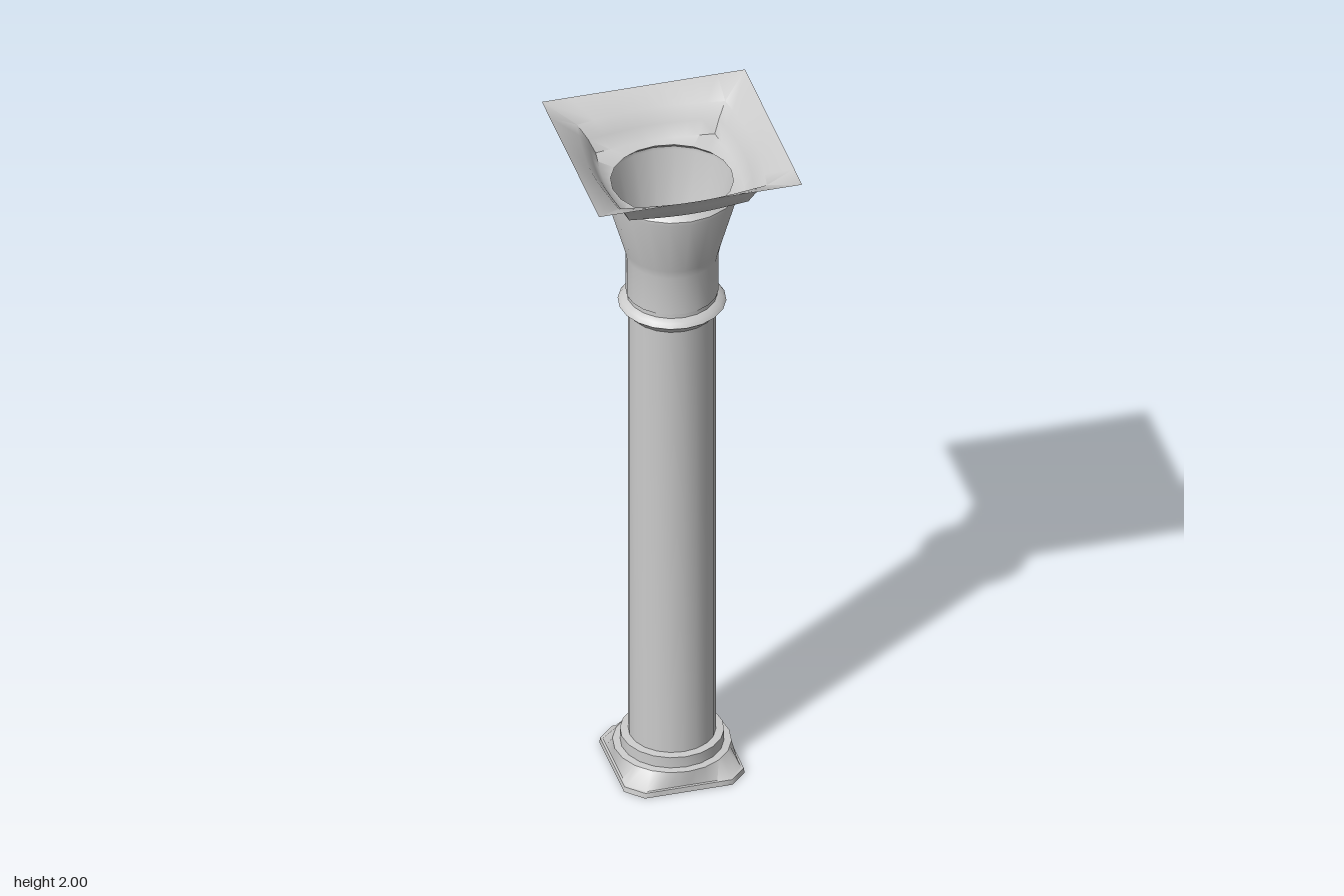
import * as THREE from 'three';
import { toCreasedNormals } from 'three/addons/utils/BufferGeometryUtils.js';

const SIDES = 20; // facets of the round parts
const LOOP = 40; // points of the square and octagonal loops
const material = new THREE.MeshStandardMaterial({ color: 0xcccccc, side: THREE.DoubleSide });

// Radius of each outline at an angle
const circle = (r) => (t) => {
  const step = (2 * Math.PI) / SIDES;
  const local = (((t % step) + step) % step) - step / 2;
  return (r * Math.cos(step / 2)) / Math.cos(local);
};
const square = (r, blend) => (t) => {
  const s = r / Math.max(Math.abs(Math.cos(t)), Math.abs(Math.sin(t)));
  return r + (s - r) * blend;
};
const octagon = (r) => (t) => {
  const c = Math.abs(Math.cos(t)), s = Math.abs(Math.sin(t));
  return Math.min(r / Math.max(c, s), (r * 1.727) / (c + s));
};

// Open skin through outlines, listed from bottom to top as [y, outline]
function loft(rings) {
  const pos = [], index = [];
  rings.forEach(([y, radius]) => {
    for (let i = 0; i < LOOP; i++) {
      const t = (i / LOOP) * Math.PI * 2, r = radius(t);
      pos.push(r * Math.sin(t), y, r * Math.cos(t));
    }
  });
  for (let k = 0; k < rings.length - 1; k++) {
    for (let i = 0; i < LOOP; i++) {
      const j = (i + 1) % LOOP;
      const a = k * LOOP + i, b = k * LOOP + j;
      index.push(a, b, b + LOOP, a, b + LOOP, a + LOOP);
    }
  }
  const g = new THREE.BufferGeometry();
  g.setAttribute('position', new THREE.Float32BufferAttribute(pos, 3));
  g.setIndex(index);
  return g;
}

const turned = (points) =>
  new THREE.LatheGeometry(points.map(([r, y]) => new THREE.Vector2(r, y)), SIDES);

export function createModel() {
  const column = new THREE.Group();
  column.name = 'column';
  const add = (name, geometry, crease = 0.6) => {
    const mesh = new THREE.Mesh(toCreasedNormals(geometry, crease), material);
    mesh.name = name;
    column.add(mesh);
  };

  // Octagonal foot blending up into a round tier
  add('plinth', loft([
    [0, octagon(0.168)],
    [0.015, octagon(0.166)],
    [0.016, octagon(0.16)],
    [0.06, circle(0.16)],
  ]), 0.9);

  // Stepped round base
  add('baseTiers', turned([[0.16, 0.06], [0.14, 0.062], [0.14, 0.095], [0.118, 0.097]]));

  // Hollow shaft
  add('shaft', turned([[0.118, 0.095], [0.118, 1.47]]));

  // Moulded ring under the capital
  add('neckRing', turned([
    [0.118, 1.465], [0.128, 1.478], [0.146, 1.494], [0.138, 1.506], [0.122, 1.513], [0.122, 1.525],
  ]), 0.9);

  // Flared capital with a turned-in lip
  add('capital', turned([
    [0.122, 1.525], [0.125, 1.527], [0.125, 1.645], [0.13, 1.67],
    [0.183, 1.855], [0.183, 1.865], [0.165, 1.882],
  ]));

  // Square flaring top, open in the middle
  add('abacus', loft([
    [1.882, circle(0.165)],
    [1.89, square(0.182, 0.7)],
    [1.925, square(0.203, 0.65)],
    [1.962, square(0.23, 0.65)],
    [2, square(0.283, 1)],
  ]), 0.9);

  return column;
}
